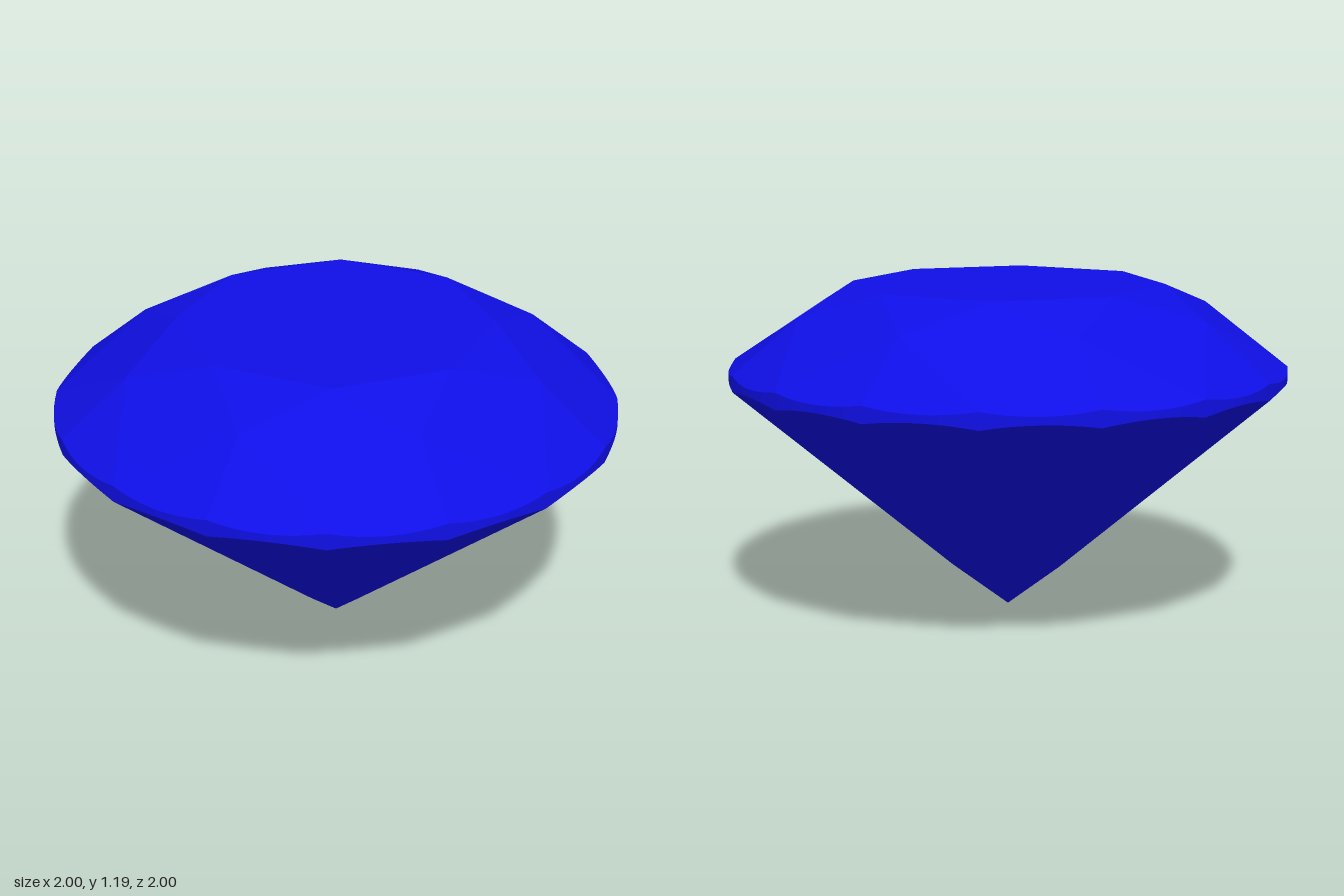
import * as THREE from 'three';

const STEP = Math.PI / 8;               // 22.5 degrees between girdle points
const ARC = 8;                          // girdle segments per scallop
const TABLE_Y = 1.19, TABLE_R = 0.56;
const TOP_Y = 0.9, BOTTOM_Y = 0.84;     // girdle edge heights at the facet tips
const STAR_R = 0.765, LOWER_R = 0.21;   // where neighbouring main facets meet
const STAR_Y = TABLE_Y - (STAR_R * Math.cos(STEP) - TABLE_R) * (TABLE_Y - TOP_Y) / (1 - TABLE_R);
const LOWER_Y = BOTTOM_Y * LOWER_R * Math.cos(STEP);

const polar = (step, r, y) =>
  new THREE.Vector3(r * Math.sin(step * STEP), y, r * Math.cos(step * STEP));

// Height where a girdle facet's plane cuts the round girdle, t = 0..1 across the facet
function scallop(t, edgeY, innerR, innerY) {
  const c = Math.cos(STEP / 2);
  const slope = (edgeY - innerY) / (c - innerR * c);
  return edgeY + slope * (Math.cos((t - 0.5) * STEP) - c);
}
const upperY = t => scallop(t, TOP_Y, STAR_R, STAR_Y);
const lowerY = t => scallop(t, BOTTOM_Y, LOWER_R, LOWER_Y);

// Curved outer border of the girdle facet that starts at point i
function arc(i, height) {
  return Array.from({ length: ARC + 1 }, (_, k) => polar(i + k / ARC, 1, height(k / ARC)));
}

// Flat convex polygons fanned from their first corner, turned to face outward
function facets(polygons) {
  const pos = [], centre = new THREE.Vector3(0, 0.8, 0);
  for (const p of polygons) {
    for (let k = 1; k < p.length - 1; k++) {
      const tri = new THREE.Triangle(p[0], p[k], p[k + 1]);
      const normal = tri.getNormal(new THREE.Vector3());
      const out = tri.getMidpoint(new THREE.Vector3()).sub(centre);
      const order = normal.dot(out) < 0 ? [tri.a, tri.c, tri.b] : [tri.a, tri.b, tri.c];
      order.forEach(v => pos.push(v.x, v.y, v.z));
    }
  }
  const g = new THREE.BufferGeometry();
  g.setAttribute('position', new THREE.Float32BufferAttribute(pos, 3));
  g.computeVertexNormals();
  return g;
}

// Smooth round band whose two edges follow the scallops
function girdleBand() {
  const n = 16 * ARC;
  const g = new THREE.CylinderGeometry(1, 1, 1, n, 1, true);
  const p = g.attributes.position;
  for (let v = 0; v < p.count; v++) {
    const t = ((v % (n + 1)) % ARC) / ARC;
    p.setY(v, p.getY(v) > 0 ? upperY(t) : lowerY(t));
  }
  return g;
}

export function createModel() {
  const gem = new THREE.Group();
  gem.name = 'gemstone';
  const flat = new THREE.MeshStandardMaterial({ color: 0x0f0fe6, flatShading: true });
  const smooth = new THREE.MeshStandardMaterial({ color: 0x0f0fe6 });
  const add = (name, geometry, material = flat) => {
    const m = new THREE.Mesh(geometry, material);
    m.name = name;
    gem.add(m);
  };

  const table = [], stars = [], kites = [], upper = [], mains = [], lower = [];
  const culet = new THREE.Vector3(0, 0, 0);
  for (let i = 0; i < 16; i += 2) {
    const corner = polar(i, TABLE_R, TABLE_Y);
    const starTip = polar(i + 1, STAR_R, STAR_Y), starPrev = polar(i - 1, STAR_R, STAR_Y);
    const low = polar(i + 1, LOWER_R, LOWER_Y), lowPrev = polar(i - 1, LOWER_R, LOWER_Y);
    table.push(corner);
    stars.push([corner, starTip, polar(i + 2, TABLE_R, TABLE_Y)]);
    kites.push([corner, starPrev, polar(i, 1, TOP_Y), starTip]);
    mains.push([culet, lowPrev, polar(i, 1, BOTTOM_Y), low]);
    // two girdle facets meet at each inner point, above and below
    for (const j of [i, i + 1]) {
      upper.push([starTip, ...arc(j, upperY)]);
      lower.push([low, ...arc(j, lowerY)]);
    }
  }

  add('table', facets([table]));
  add('starFacets', facets(stars));
  add('crownKites', facets(kites));
  add('upperGirdleFacets', facets(upper));
  add('girdle', girdleBand(), smooth);
  add('lowerGirdleFacets', facets(lower));
  add('pavilionMains', facets(mains));
  return gem;
}
